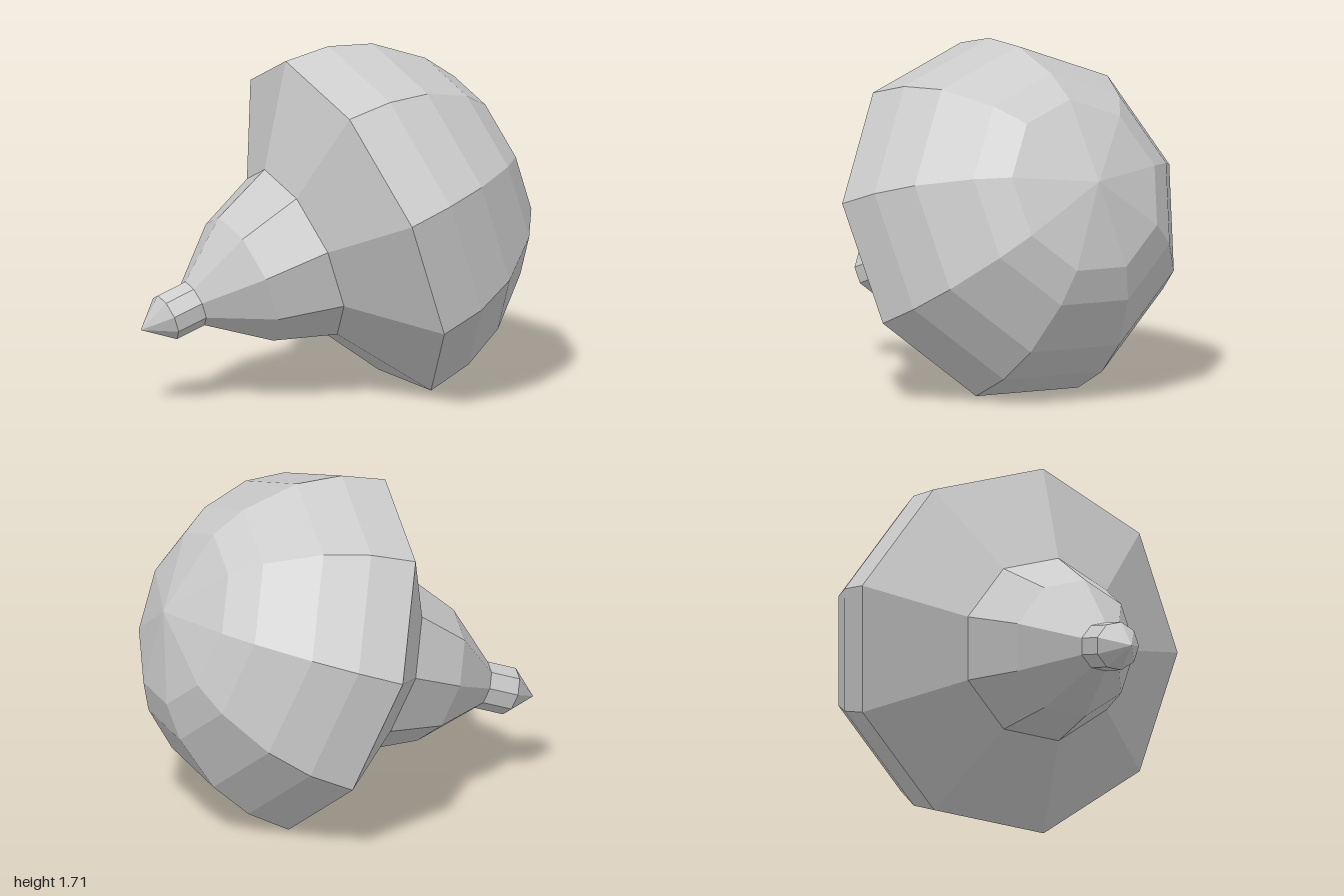
import * as THREE from 'three';

const SIDES = 9;
const RADIUS = 0.909;

export function createModel() {
  const group = new THREE.Group();
  group.name = 'taperedBulb';
  const material = new THREE.MeshStandardMaterial({ color: 0xcccccc, flatShading: true });

  // Tilted frame: the body's axis points to the tip, the seam is the first facet corner
  const axis = new THREE.Vector3(-0.176, -0.351, 0.92).normalize();
  const seam = new THREE.Vector3(-0.09, 0.85, 0.31);
  seam.addScaledVector(axis, -seam.dot(axis)).normalize();
  const side = new THREE.Vector3().crossVectors(axis, seam);
  const body = new THREE.Group();
  body.name = 'body';
  body.quaternion.setFromRotationMatrix(new THREE.Matrix4().makeBasis(side, axis, seam));
  body.position.set(0.01, 0.81, -0.1);
  group.add(body);

  // Each part is a nine-sided lathe of [radius, distance along axis]
  function addPart(name, profile) {
    const points = profile.map(([r, y]) => new THREE.Vector2(r, y));
    const mesh = new THREE.Mesh(new THREE.LatheGeometry(points, SIDES), material);
    mesh.name = name;
    body.add(mesh);
  }

  // Rounded back: rings at angles from the pole to the rim
  const dome = [90, 61, 49, 30, 15, 0].map((deg) => {
    const a = THREE.MathUtils.degToRad(deg);
    return [deg === 90 ? 0 : RADIUS * Math.cos(a), -RADIUS * Math.sin(a)];
  });
  addPart('dome', dome);
  addPart('shoulder', [[RADIUS, 0], [0.455, 0.3]]);
  addPart('neck', [[0.455, 0.3], [0.34, 0.61], [0.12, 0.89]]);
  addPart('tip', [[0.12, 0.89], [0.12, 1.05], [0, 1.196]]);

  return group;
}
